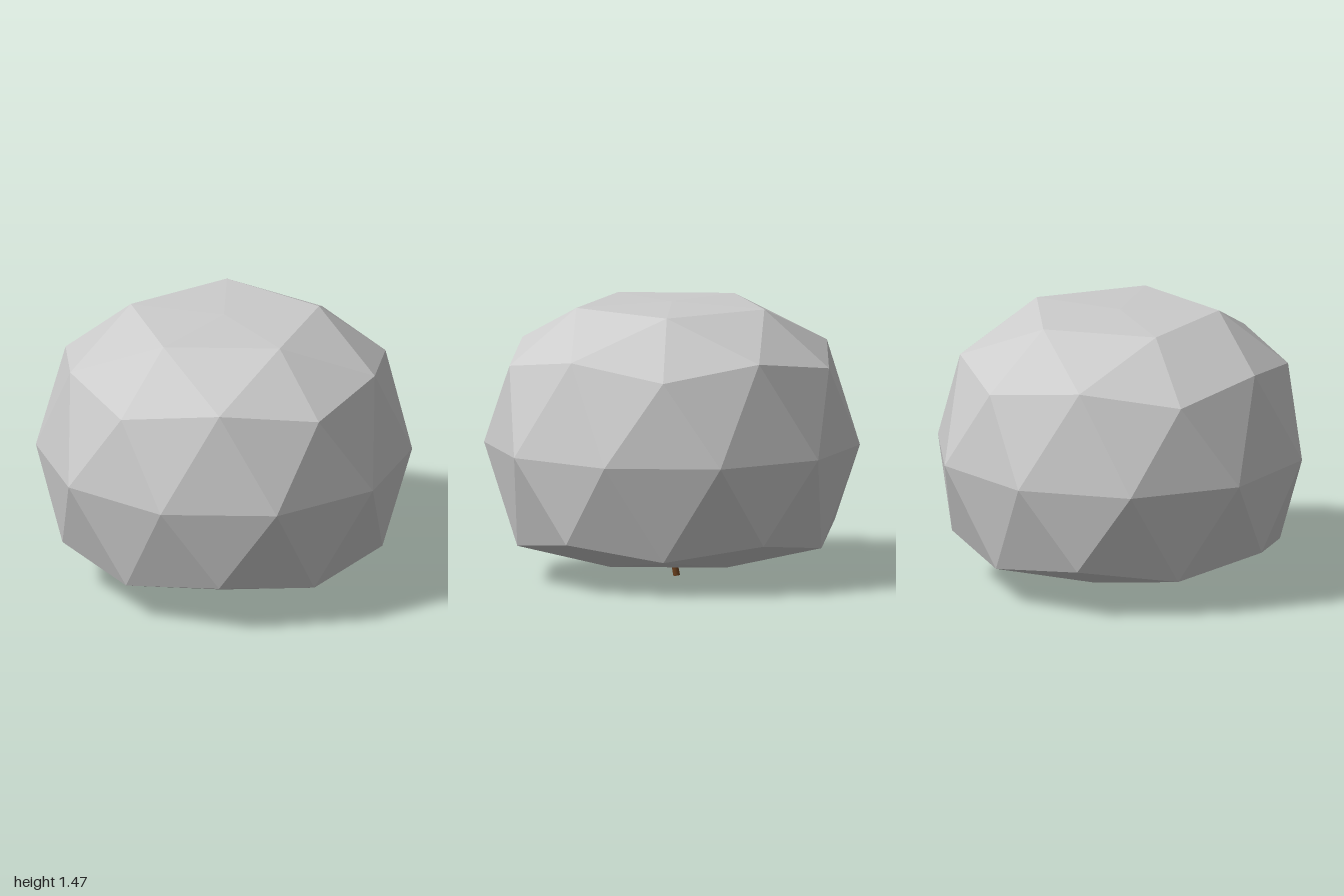
import * as THREE from 'three';

const grey = new THREE.MeshStandardMaterial({ color: 0xcccccc });
grey.name = 'light grey';
const brown = new THREE.MeshStandardMaterial({ color: 0x6e421f });
brown.name = 'stem brown';

const STEP = Math.PI / 5; // 36 degrees: half of one of the five sectors

// One faceted half of the body, from its pole to the equator.
// h holds the heights of the pole and the rings; start turns the half about y.
function halfFaces(out, h, start, up) {
  const at = (r, y, n) => [r * Math.cos(start + n * STEP), y, r * Math.sin(start + n * STEP)];
  const add = (a, b, c) => out.push(...a, ...(up ? c : b), ...(up ? b : c));
  for (let k = 0; k < 10; k += 2) {
    const pole = [0, h.pole, 0];
    const cap0 = at(0.526, h.cap, k), cap1 = at(0.526, h.cap, k + 2);
    const corner0 = at(0.894, h.corner, k), corner1 = at(0.894, h.corner, k + 2);
    const mid = at(0.851, h.mid, k + 1);
    const eqA = at(1, h.equator, k - 0.5), eqB = at(1, h.equator, k + 0.5), eqC = at(1, h.equator, k + 1.5);
    add(pole, cap0, cap1);
    add(cap0, mid, cap1);
    add(cap0, corner0, mid);
    add(cap1, mid, corner1);
    add(corner0, eqA, eqB);
    add(corner0, eqB, mid);
    add(mid, eqB, eqC);
    add(mid, eqC, corner1);
  }
}

export function createModel() {
  const model = new THREE.Group();
  model.name = 'facetedFruit';

  // Body: flattened top, hollow underside; unshared corners keep facets flat
  const faces = [];
  halfFaces(faces, { pole: 1.475, cap: 1.46, mid: 1.24, corner: 1.163, equator: 0.714 }, 0, true);
  halfFaces(faces, { pole: 0.33, cap: 0.11, mid: 0.195, corner: 0.268, equator: 0.714 }, STEP, false);
  const geometry = new THREE.BufferGeometry();
  geometry.setAttribute('position', new THREE.Float32BufferAttribute(faces, 3));
  geometry.computeVertexNormals();
  const body = new THREE.Mesh(geometry, grey);
  body.name = 'body';
  model.add(body);

  // Stem: short bent tube hanging out of the hollow
  const path = new THREE.CatmullRomCurve3([
    new THREE.Vector3(0, 0.23, 0.002),
    new THREE.Vector3(0, 0.12, -0.004),
    new THREE.Vector3(0, 0.004, -0.025),
  ]);
  const stem = new THREE.Mesh(new THREE.TubeGeometry(path, 8, 0.018, 10), brown);
  stem.name = 'stem';
  model.add(stem);

  // Rounded upper end and flat lower end of the stem
  const knob = new THREE.Mesh(new THREE.SphereGeometry(0.02, 10, 8), brown);
  knob.name = 'stemTop';
  knob.position.copy(path.getPoint(0));
  model.add(knob);
  const tip = new THREE.Mesh(new THREE.CircleGeometry(0.018, 10), brown);
  tip.name = 'stemTip';
  tip.position.copy(path.getPoint(1));
  tip.quaternion.setFromUnitVectors(new THREE.Vector3(0, 0, 1), path.getTangent(1));
  model.add(tip);

  return model;
}
